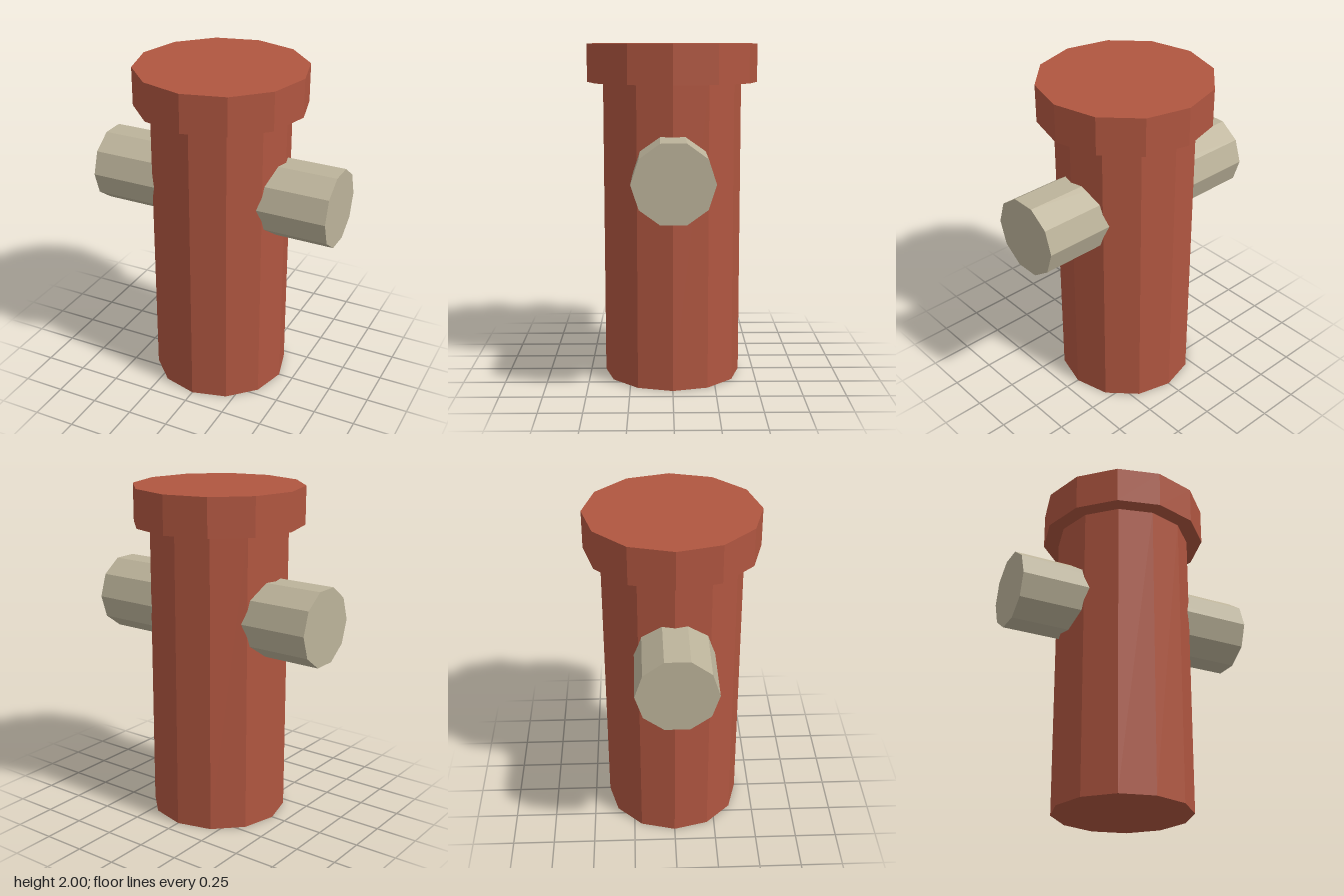
import * as THREE from 'three';

export function createModel() {
  const model = new THREE.Group();
  model.name = 'hydrant';

  const red = new THREE.MeshStandardMaterial({ color: 0xb05640, flatShading: true });
  red.name = 'brick red';
  const stone = new THREE.MeshStandardMaterial({ color: 0xbcb39a, flatShading: true });
  stone.name = 'pale stone';

  // Faceted cylinder with a corner pointing to the front
  const prism = (name, radius, height, sides, material, y) => {
    const mesh = new THREE.Mesh(new THREE.CylinderGeometry(radius, radius, height, sides), material);
    mesh.name = name;
    mesh.position.y = y;
    model.add(mesh);
    return mesh;
  };

  const capBase = 1.775;
  prism('barrel', 0.41, capBase, 12, red, capBase / 2);
  prism('cap', 0.505, 2 - capBase, 12, red, (2 + capBase) / 2);

  // One pipe crosses the barrel and forms both side outlets
  prism('sideOutlets', 0.23, 1.49, 10, stone, 1.265).rotation.z = Math.PI / 2;

  return model;
}
